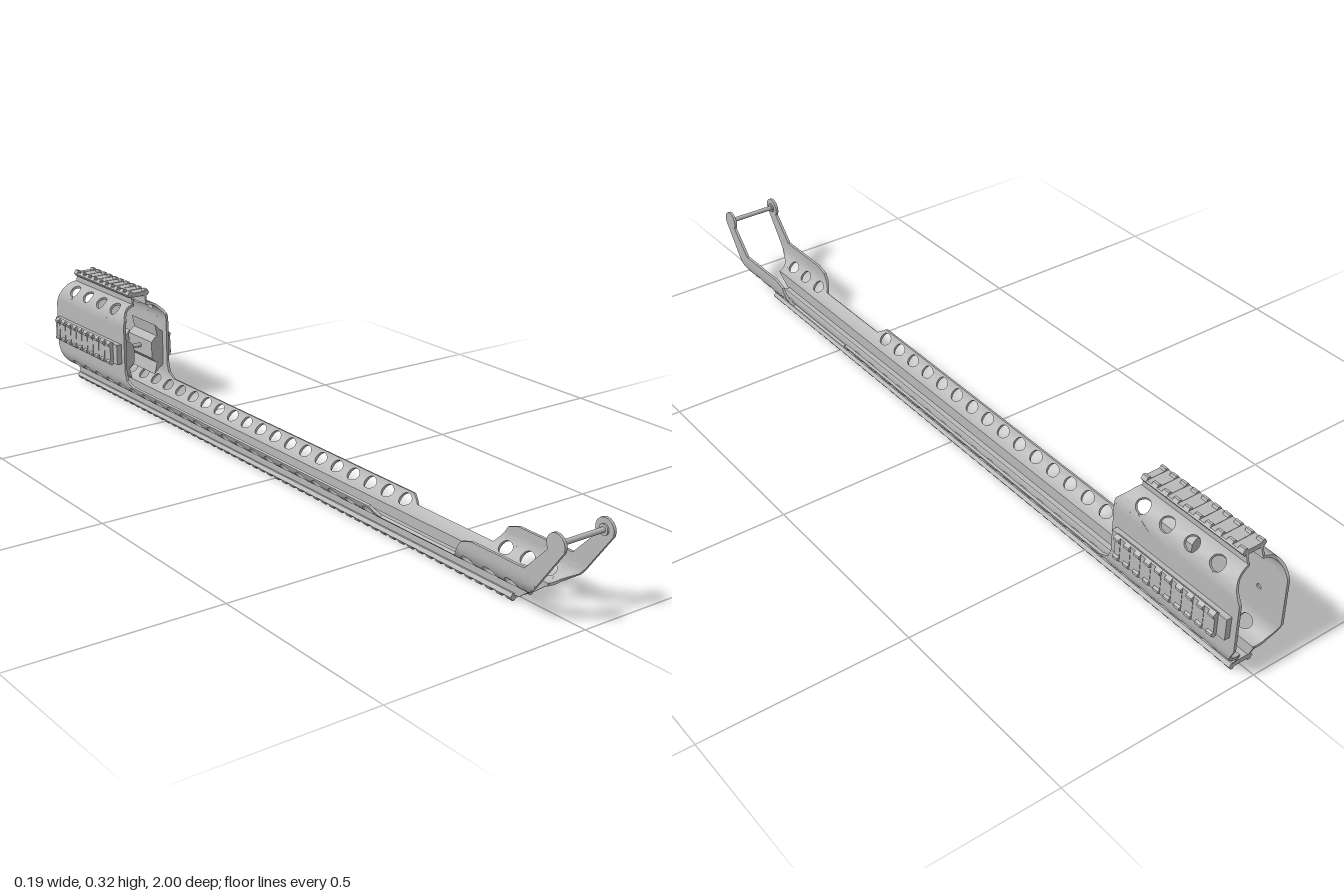
import * as THREE from 'three';
import { toCreasedNormals } from 'three/addons/utils/BufferGeometryUtils.js';

const R = 0.051, CX = 0.018, Y0 = 0.09, Y1 = 0.232, WALL = 0.007;
const ARC = R * Math.PI / 2, TOTAL = 2 * ARC + (Y1 - Y0);

// Distance along the wall section for a given height
function alongAt(y) {
  if (y < Y0) return R * Math.acos(Math.min(1, (Y0 - y) / R));
  if (y > Y1) return ARC + Y1 - Y0 + R * Math.asin(Math.min(1, (y - Y1) / R));
  return ARC + y - Y0;
}

// Bends the flat point (z, distance along section, depth) into the shell
function bend(p, side) {
  const [z, s, d] = p;
  let a = 0, cy = Y0 + s - ARC;
  if (s < ARC) { a = s / R - Math.PI / 2; cy = Y0; }
  else if (s > TOTAL - ARC) { a = (s - TOTAL + ARC) / R; cy = Y1; }
  return [side * (CX + (R + d) * Math.cos(a)), cy + (R + d) * Math.sin(a), z];
}

// One wall: flat outline with holes, split finely, then bent
function wallGeometry(side) {
  const eye = [0.975, 0.187];
  const outline = [[-0.973, 0.039], [-1, 0.1], [-1, 0.22], [-0.968, 0.283], [-0.66, 0.283], [-0.63, 0.25],
    [-0.63, 0.11], [-0.622, 0.088], [-0.595, 0.075], [0.41, 0.075], [0.435, 0.055], [0.68, 0.055],
    [0.695, 0.075], [0.71, 0.1], [0.74, 0.11], [0.895, 0.11]];
  for (let i = 0; i <= 10; i++) {
    const a = Math.PI * (1.2 - 1.32 * i / 10);
    outline.push([eye[0] + 0.025 * Math.cos(a), eye[1] + 0.025 * Math.sin(a)]);
  }
  outline.push([0.92, 0.07], [0.875, 0.039]);
  const pts = [];
  outline.forEach(([z, y], i) => {
    const [z2, y2] = outline[(i + 1) % outline.length];
    const n = Math.abs(y2 - y) > 0.015 ? 4 : 1;
    for (let k = 0; k < n; k++) {
      pts.push(new THREE.Vector2(z + (z2 - z) * k / n, alongAt(y + (y2 - y) * k / n)));
    }
  });
  // The outline runs clockwise, so the holes run counter-clockwise
  const shape = new THREE.Shape(pts);
  const hole = (z, s, r) => shape.holes.push(new THREE.Path().absarc(z, s, r, 0, Math.PI * 2, false));
  for (let i = 0; i < 22; i++) hole(0.395 - i * 0.0625, ARC / 2, 0.0185);
  for (const z of [0.72, 0.785, 0.848]) hole(z, ARC / 2, 0.0185);
  for (let i = 0; i < 4; i++) hole(-0.7 - i * 0.0727, TOTAL - ARC / 2, 0.0185);
  for (const z of [-0.875, -0.93]) hole(z, alongAt(0.155), 0.006);

  let flat = new THREE.ExtrudeGeometry(shape, { depth: WALL, bevelEnabled: false, curveSegments: 10 });
  if (flat.index) flat = flat.toNonIndexed();
  const src = flat.attributes.position, out = [];
  const split = (a, b, c) => {
    const t = [a, b, c];
    const len = t.map((p, i) => Math.abs(p[1] - t[(i + 1) % 3][1]));
    const k = len.indexOf(Math.max(...len));
    if (len[k] > 0.012) {
      const p = t[k], q = t[(k + 1) % 3], r = t[(k + 2) % 3];
      const m = p.map((v, i) => (v + q[i]) / 2);
      split(p, m, r);
      split(m, q, r);
      return;
    }
    for (const p of side > 0 ? [a, c, b] : t) out.push(...bend(p, side));
  };
  const at = i => [src.getX(i), src.getY(i), src.getZ(i) - WALL];
  for (let i = 0; i < src.count; i += 3) split(at(i), at(i + 1), at(i + 2));
  const geo = new THREE.BufferGeometry();
  geo.setAttribute('position', new THREE.Float32BufferAttribute(out, 3));
  return toCreasedNormals(geo, 0.6);
}

export function createModel() {
  const model = new THREE.Group();
  model.name = 'railHandguard';
  const metal = new THREE.MeshStandardMaterial({ color: 0xb8b8b8, side: THREE.DoubleSide });
  metal.name = 'light grey metal';

  const add = (parent, name, geo, x = 0, y = 0, z = 0) => {
    const mesh = new THREE.Mesh(geo, metal);
    mesh.name = name;
    mesh.position.set(x, y, z);
    parent.add(mesh);
    return mesh;
  };
  const prism = (points, depth) => new THREE.ExtrudeGeometry(
    new THREE.Shape(points.map(p => new THREE.Vector2(...p))), { depth, bevelEnabled: false });
  const mirrored = half => [...half, ...half.map(([x, y]) => [-x, y]).reverse()];

  // Toothed accessory rail; local +y points away from the shell
  const baseProfile = mirrored([[0.02, 0], [0.027, 0], [0.033, 0.008], [0.03, 0.011]]);
  const toothGeo = prism(mirrored([[0.02, 0], [0.027, 0], [0.033, 0.008], [0.027, 0.017],
    [0.021, 0.017], [0.018, 0.012]]), 0.016);
  function rail(name, x, y, angle, z0, z1) {
    const g = new THREE.Group();
    g.name = name;
    g.position.set(x, y, 0);
    g.rotation.z = angle;
    add(g, 'railBase', prism(baseProfile, z1 - z0 - 0.002), 0, 0, z0 + 0.001);
    const n = Math.round((z1 - z0 - 0.016) / 0.031);
    for (let i = 0; i <= n; i++) add(g, 'railTooth', toothGeo, 0, 0, z0 + (z1 - z0 - 0.016) * i / n);
    model.add(g);
  }
  rail('topRail', 0, 0.299, 0, -0.96, -0.665);
  rail('bottomRail', 0, 0.017, Math.PI, -0.962, 0.825);
  rail('leftRail', 0.08, 0.156, -Math.PI / 2, -0.962, -0.665);
  rail('rightRail', -0.08, 0.156, Math.PI / 2, -0.962, -0.665);

  // Side plates given as (z, y) outlines, extruded across x
  const lowerNeck = [[-0.962, 0.013], [0.838, 0.013], [0.878, 0.044], [-0.975, 0.044]];
  const upperNeck = [[-0.968, 0.278], [-0.66, 0.278], [-0.664, 0.303], [-0.96, 0.303]];
  const railMount = [[-0.985, 0.129], [-0.645, 0.129], [-0.645, 0.183], [-0.985, 0.183]];

  // Inner clamp jaw section
  const jaw = [[0.064, 0.195], [0.052, 0.204], [0.039, 0.218], [0.045, 0.186], [0.037, 0.182], [0.027, 0.171],
    [0.027, 0.126], [0.037, 0.115], [0.043, 0.112], [0.035, 0.08], [0.05, 0.096], [0.064, 0.105]];

  for (const side of [1, -1]) {
    const label = side > 0 ? 'left' : 'right';
    const plate = (name, points, x0, x1) => add(model, label + name,
      prism(points, x1 - x0).rotateY(-Math.PI / 2), side > 0 ? x1 : -x0);
    add(model, label + 'Wall', wallGeometry(side));
    // Channel walls joining the shell to the rails
    plate('LowerNeck', lowerNeck, 0.018, 0.023);
    plate('UpperNeck', upperNeck, 0.018, 0.023);
    plate('RailMount', railMount, 0.066, 0.083);
    add(model, label + 'ClampJaw', prism(jaw.map(([x, y]) => [side * x, y]), 0.12), 0, 0, -0.77);
    // Collar at the end of the front pin
    add(model, label + 'PinCollar', new THREE.CylinderGeometry(0.012, 0.012, 0.008, 20),
      side * 0.062, 0.187, 0.975).rotation.z = Math.PI / 2;
  }

  // Cross pins
  add(model, 'frontPin', new THREE.CylinderGeometry(0.006, 0.006, 0.136, 16), 0, 0.187, 0.975).rotation.z = Math.PI / 2;
  add(model, 'clampPin', new THREE.CylinderGeometry(0.006, 0.006, 0.07, 16), 0, 0.15, -0.71).rotation.z = Math.PI / 2;
  return model;
}
